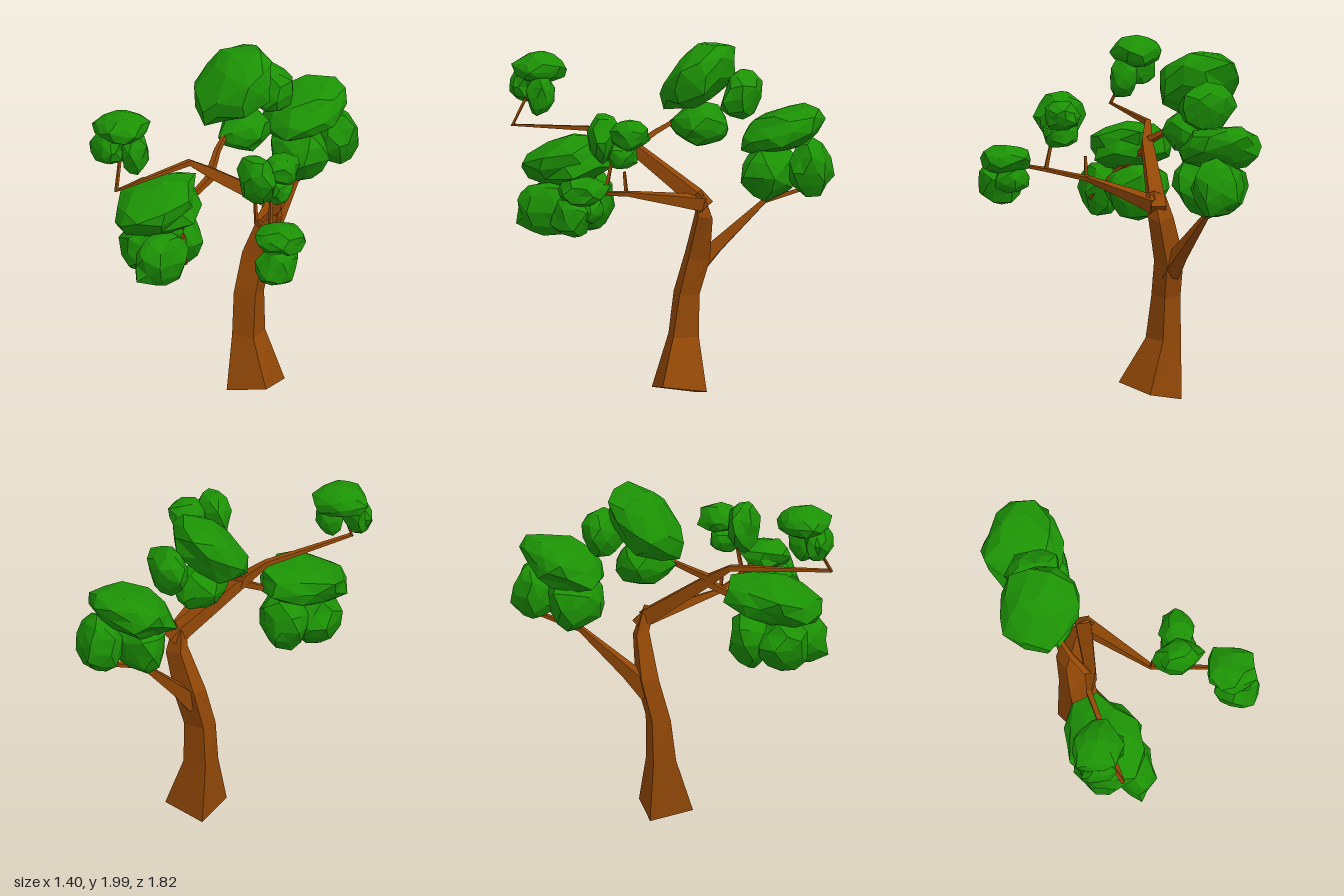
import * as THREE from 'three';

const bark = new THREE.MeshStandardMaterial({ color: 0x934806, flatShading: true });
const leaf = new THREE.MeshStandardMaterial({ color: 0x1c9205, flatShading: true });

// Skin a list of four-cornered rings and close both ends
function loft(rings) {
  const pos = [];
  const tri = (...pts) => pts.forEach((p) => pos.push(p.x, p.y, p.z));
  const quad = (a, b, c, d) => { tri(a, b, c); tri(a, c, d); };
  for (let r = 0; r < rings.length - 1; r++) {
    for (let i = 0; i < 4; i++) {
      const j = (i + 1) % 4;
      quad(rings[r][i], rings[r][j], rings[r + 1][j], rings[r + 1][i]);
    }
  }
  quad(...[...rings[0]].reverse());
  quad(...rings[rings.length - 1]);
  const g = new THREE.BufferGeometry();
  g.setAttribute('position', new THREE.Float32BufferAttribute(pos, 3));
  g.computeVertexNormals();
  return g;
}

// Tapered square limb through points [x, y, z, radius]
function limb(path) {
  const pts = path.map((p) => new THREE.Vector3(p[0], p[1], p[2]));
  const u = new THREE.Vector3(1, 0, 0);
  return loft(pts.map((p, k) => {
    const next = pts[Math.min(k + 1, pts.length - 1)];
    const prev = pts[Math.max(k - 1, 0)];
    const inDir = p.clone().sub(prev).normalize();
    const t = next.clone().sub(p).normalize().add(inDir).normalize();
    u.addScaledVector(t, -u.dot(t)).normalize();
    const v = t.clone().cross(u);
    return [0, 1, 2, 3].map((i) => {
      const a = Math.PI / 4 + i * Math.PI / 2;
      return p.clone().addScaledVector(u, Math.cos(a) * path[k][3])
        .addScaledVector(v, Math.sin(a) * path[k][3]);
    });
  }));
}

// Irregular faceted leaf clump: centre, radii and how much it rises toward the back
function clump([x, y, z, rx, ry, rz, rise = 0], seed) {
  const g = new THREE.IcosahedronGeometry(1, 1);
  const p = g.attributes.position;
  const v = new THREE.Vector3();
  const noise = (k) => {
    const s = Math.sin(Math.round(v.x * 50) * 12.99 + Math.round(v.y * 50) * 78.23
      + Math.round(v.z * 50) * 37.72 + seed * 9.17 + k * 5.3) * 43758.5;
    return s - Math.floor(s);
  };
  for (let i = 0; i < p.count; i++) {
    v.fromBufferAttribute(p, i);
    const r = 0.91 + 0.18 * noise(0);
    const px = (v.x * r + (noise(1) - 0.5) * 0.24) * rx;
    const pz = (v.z * r + (noise(2) - 0.5) * 0.24) * rz;
    p.setXYZ(i, x + px, y + v.y * r * ry - rise * pz, z + pz);
  }
  g.computeVertexNormals();
  return g;
}

export function createModel() {
  const tree = new THREE.Group();
  tree.name = 'tree';
  const add = (parent, name, geometry, material) => {
    const mesh = new THREE.Mesh(geometry, material);
    mesh.name = name;
    parent.add(mesh);
  };

  // Trunk: corners run left, front, right, back, from the flared slanted base up
  const trunkRings = [
    [[-0.36, 0.005, -0.14], [-0.23, 0.05, 0.07], [-0.02, 0.1, -0.05], [-0.15, 0.06, -0.27]],
    [[-0.36, 0.35, -0.12], [-0.29, 0.35, -0.01], [-0.17, 0.35, -0.07], [-0.24, 0.35, -0.2]],
    [[-0.355, 0.59, -0.13], [-0.31, 0.59, -0.035], [-0.195, 0.59, -0.1], [-0.25, 0.59, -0.2]],
    [[-0.36, 0.82, -0.19], [-0.32, 0.82, -0.1], [-0.2, 0.8, -0.15], [-0.25, 0.79, -0.26]],
    [[-0.29, 1.06, -0.24], [-0.25, 1.08, -0.18], [-0.15, 1.06, -0.22], [-0.2, 1.04, -0.29]],
    [[-0.25, 1.18, -0.22], [-0.22, 1.15, -0.17], [-0.14, 1.19, -0.21], [-0.18, 1.21, -0.23]],
  ].map((ring) => ring.map((c) => new THREE.Vector3(...c)));
  add(tree, 'trunk', loft(trunkRings), bark);

  // Branches
  const branches = new THREE.Group();
  branches.name = 'branches';
  tree.add(branches);
  const limbs = {
    mainBranch: [[-0.2, 1.1, -0.25, 0.06], [-0.2, 1.16, -0.19, 0.06], [-0.23, 1.41, 0.17, 0.042],
      [-0.265, 1.5, 0.3, 0.022], [-0.18, 1.512, 0.86, 0.014], [-0.25, 1.7, 0.78, 0.01]],
    topBranch: [[-0.24, 1.42, 0.17, 0.025], [-0.32, 1.49, 0.07, 0.02], [-0.4, 1.58, -0.08, 0.013]],
    frontBranch: [[-0.24, 1.4, 0.15, 0.028], [-0.22, 1.32, 0.3, 0.02], [-0.12, 1.2, 0.45, 0.014],
      [0.015, 1.04, 0.525, 0.01]],
    leftBranch: [[-0.19, 1.13, -0.23, 0.055], [0.12, 1.23, 0.115, 0.018], [0.25, 1.257, 0.16, 0.015],
      [0.35, 1.28, 0.18, 0.014], [0.52, 1.31, 0.23, 0.01]],
    leftStub: [[0.125, 1.23, 0.12, 0.013], [0.13, 1.355, 0.13, 0.01]],
    leftTwig: [[0.345, 1.275, 0.18, 0.014], [0.31, 1.48, 0.15, 0.01]],
    rearBranch: [[-0.28, 0.74, -0.17, 0.07], [-0.32, 0.86, -0.28, 0.05], [-0.41, 1.11, -0.53, 0.02],
      [-0.45, 1.19, -0.76, 0.014], [-0.46, 1.21, -0.87, 0.01]],
  };
  for (const [name, path] of Object.entries(limbs)) add(branches, name, limb(path), bark);

  // Foliage clusters
  const clusters = {
    topFoliage: [[-0.465, 1.79, -0.14, 0.23, 0.18, 0.21, 0.5], [-0.45, 1.7, -0.39, 0.16, 0.14, 0.11, 0.2],
      [-0.4, 1.53, -0.17, 0.15, 0.12, 0.16]],
    rearFoliage: [[-0.47, 1.51, -0.62, 0.23, 0.125, 0.24, 0.3], [-0.42, 1.28, -0.56, 0.21, 0.17, 0.16],
      [-0.42, 1.31, -0.8, 0.15, 0.17, 0.12]],
    frontFoliage: [[-0.22, 1.32, 0.55, 0.23, 0.135, 0.27, 0.2], [-0.07, 1.07, 0.63, 0.11, 0.16, 0.175],
      [-0.23, 1.1, 0.42, 0.18, 0.17, 0.12], [-0.25, 1.08, 0.6, 0.15, 0.16, 0.15]],
    upperFrontFoliage: [[-0.3, 1.82, 0.74, 0.145, 0.09, 0.15], [-0.22, 1.68, 0.71, 0.08, 0.12, 0.085],
      [-0.32, 1.72, 0.83, 0.11, 0.11, 0.08]],
    leftFoliage: [[0.255, 1.575, 0.215, 0.135, 0.145, 0.085], [0.28, 1.6, 0.06, 0.1, 0.09, 0.11],
      [0.28, 1.49, 0.1, 0.1, 0.08, 0.085]],
    farLeftFoliage: [[0.55, 1.33, 0.25, 0.145, 0.085, 0.14], [0.58, 1.19, 0.31, 0.12, 0.12, 0.12],
      [0.53, 1.23, 0.24, 0.1, 0.09, 0.1]],
  };
  let seed = 1;
  for (const [name, list] of Object.entries(clusters)) {
    const group = new THREE.Group();
    group.name = name;
    tree.add(group);
    for (const c of list) add(group, 'leafClump', clump(c, seed++), leaf);
  }
  return tree;
}
